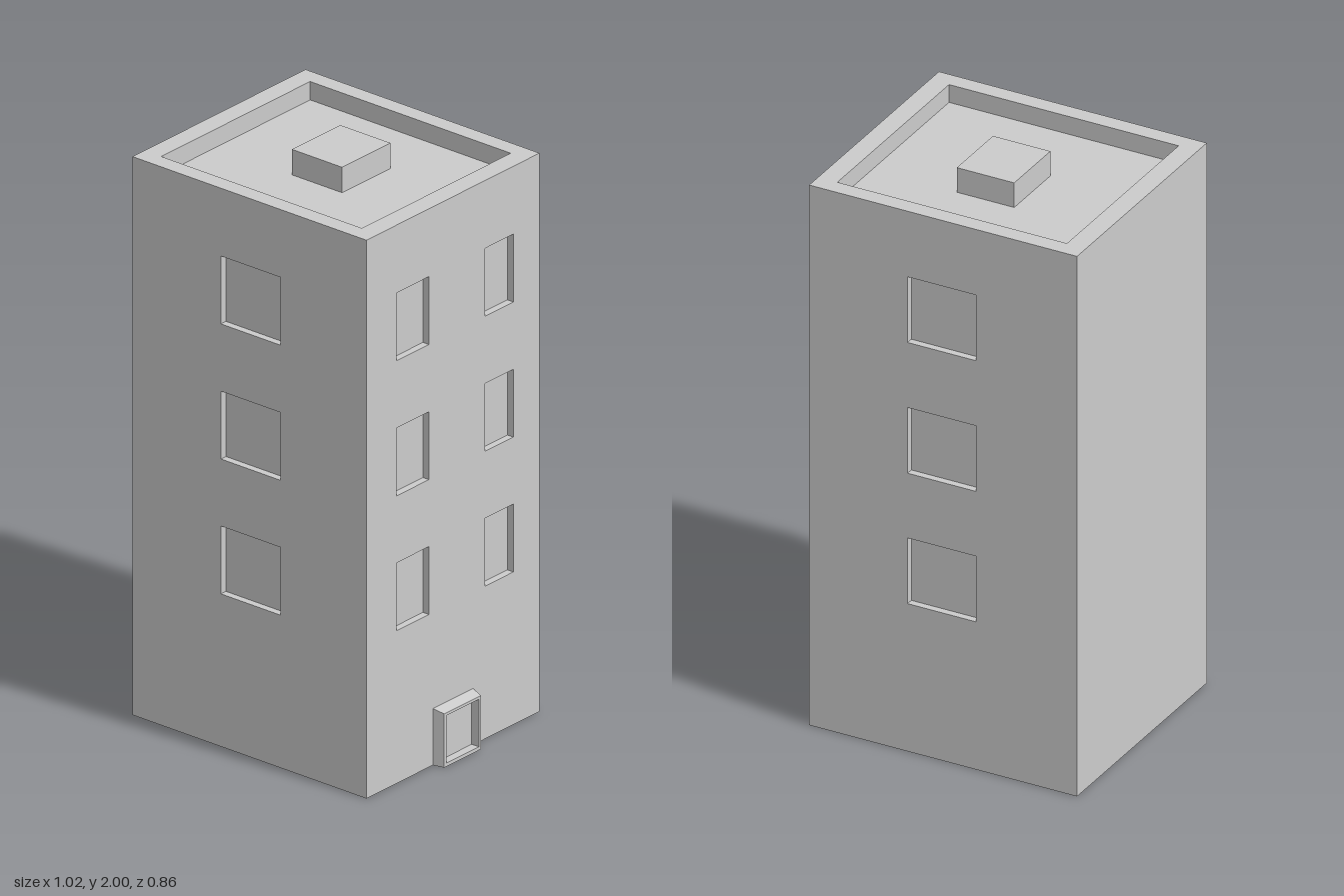
import * as THREE from 'three';

const material = new THREE.MeshStandardMaterial({ color: 0xcccccc, flatShading: true });

function addMesh(parent, name, geometry) {
  const mesh = new THREE.Mesh(geometry, material);
  mesh.name = name;
  parent.add(mesh);
  return mesh;
}

// Box with only the listed faces (0..5 = +x -x +y -y +z -z), optionally turned inside out
function boxFaces(w, h, d, faces, inward = false) {
  const g = new THREE.BoxGeometry(w, h, d);
  const all = Array.from(g.index.array);
  const kept = faces.flatMap((f) => all.slice(f * 6, f * 6 + 6));
  g.setIndex(inward ? kept.reverse() : kept);
  g.clearGroups();
  g.computeVertexNormals();
  return g;
}

function trace(path, [x0, y0, x1, y1]) {
  path.moveTo(x0, y0);
  path.lineTo(x1, y0);
  path.lineTo(x1, y1);
  path.lineTo(x0, y1);
  path.closePath();
  return path;
}

// Flat panel facing local +z, with a recess of the given depth behind every opening
function panel(name, rect, openings = [], depth = 0, recessName = 'window') {
  const group = new THREE.Group();
  group.name = name;
  const shape = trace(new THREE.Shape(), rect);
  shape.holes = openings.map((o) => trace(new THREE.Path(), o));
  addMesh(group, name + 'Surface', new THREE.ShapeGeometry(shape));
  for (const [x0, y0, x1, y1] of openings) {
    const recess = addMesh(group, recessName, boxFaces(x1 - x0, y1 - y0, depth, [0, 1, 2, 3, 5], true));
    recess.position.set((x0 + x1) / 2, (y0 + y1) / 2, -depth / 2);
  }
  return group;
}

export function createModel() {
  const model = new THREE.Group();
  model.name = 'towerBlock';

  const W = 0.98, H = 1.975, D = 0.86;
  const building = new THREE.Group();
  building.name = 'building';
  building.position.x = -0.02;
  model.add(building);

  // Three storeys of windows for each column [x0, x1]
  const storeys = [0.54, 1.017, 1.495];
  const windows = (...columns) =>
    columns.flatMap(([a, b]) => storeys.map((y) => [a, y, b, y + 0.24]));
  const wallRect = (w) => [-w / 2, 0, w / 2, H];

  // Walls
  const front = panel('frontWall', wallRect(W), windows([-0.12, 0.13]), 0.025);
  front.position.z = D / 2;
  const back = panel('backWall', wallRect(W), windows([-0.13, 0.12]), 0.025);
  back.rotation.y = Math.PI;
  back.position.z = -D / 2;
  const entrance = panel('entranceWall', wallRect(D), windows([-0.28, -0.12], [0.16, 0.30]), 0.025);
  entrance.rotation.y = Math.PI / 2;
  entrance.position.x = W / 2;
  const blank = panel('blankWall', wallRect(D));
  blank.rotation.y = -Math.PI / 2;
  blank.position.x = -W / 2;

  // Parapet with sunken roof, and underside
  const plan = [-W / 2, -D / 2, W / 2, D / 2];
  const roof = panel('parapet', plan, [[-0.42, -0.37, 0.42, 0.37]], 0.065, 'sunkenRoof');
  roof.rotation.x = -Math.PI / 2;
  roof.position.y = H;
  const base = panel('underside', plan);
  base.rotation.x = Math.PI / 2;
  building.add(front, back, entrance, blank, roof, base);

  // Roof hatch
  const hatch = addMesh(building, 'roofHatch', boxFaces(0.21, 0.09, 0.24, [0, 1, 2, 4, 5]));
  hatch.position.set(0.005, 1.955, -0.02);

  // Door surround, tapering outwards, with the door set into it
  const door = new THREE.Group();
  door.name = 'entranceDoor';
  const depth = 0.04;
  const surround = boxFaces(0.2, 0.2, depth, [0, 1, 2, 3]);
  surround.translate(0, 0.1, depth / 2);
  const p = surround.attributes.position;
  for (let i = 0; i < p.count; i++) {
    if (p.getZ(i) > depth / 2) {
      p.setX(i, p.getX(i) * 0.91);
      p.setY(i, p.getY(i) * 0.95);
    }
  }
  surround.computeVertexNormals();
  addMesh(door, 'doorSurround', surround);
  const face = panel('doorFrame', [-0.091, 0, 0.091, 0.19], [[-0.081, 0.012, 0.081, 0.18]], 0.03, 'doorPanel');
  face.position.z = depth;
  door.add(face);
  entrance.add(door);

  return model;
}
